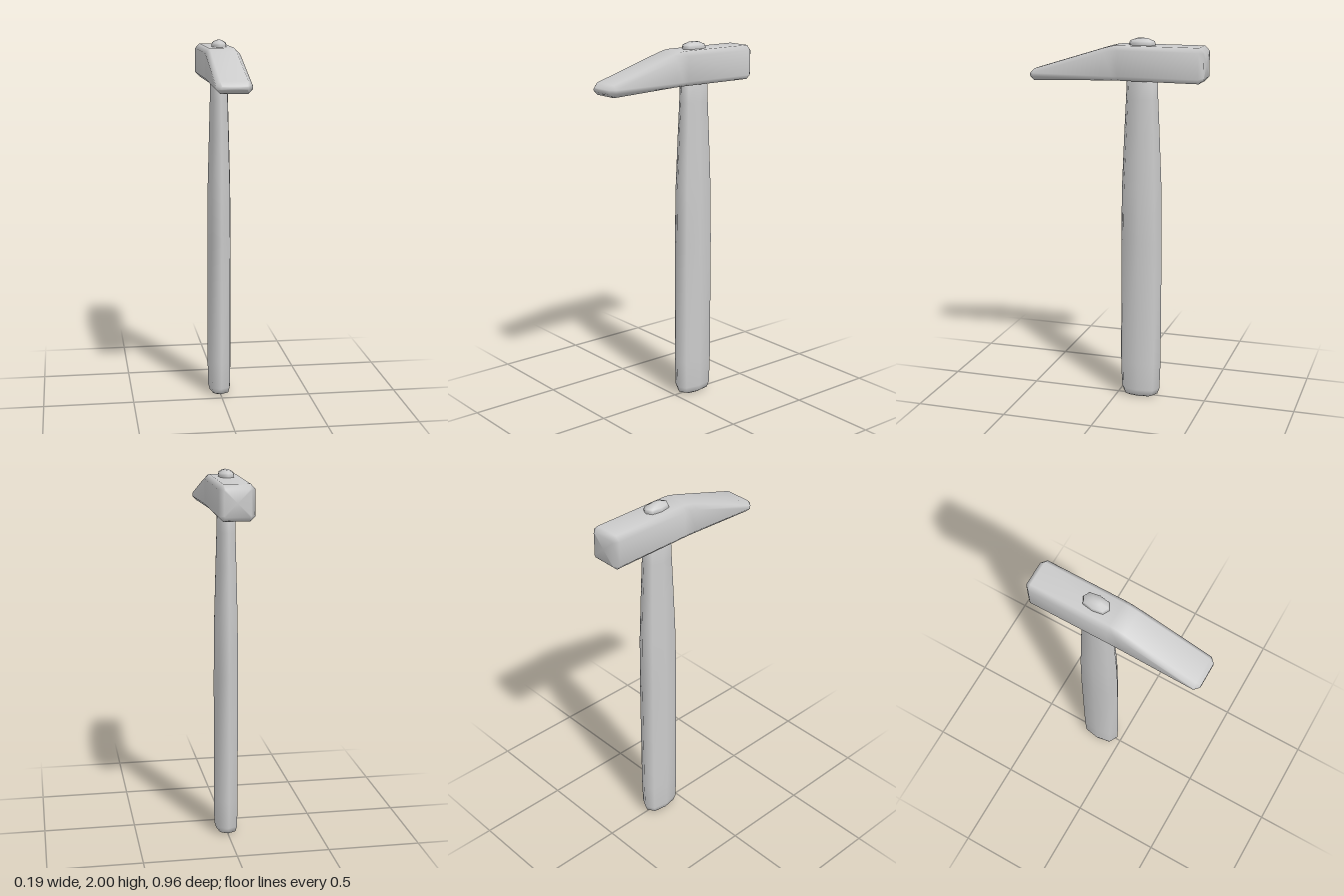
import * as THREE from 'three';

const material = new THREE.MeshStandardMaterial({ color: 0xcccccc });
const HANDLE_Z = -0.13;

// Skin a list of closed rings (counter-clockwise about the travel axis) and cap both ends.
function loft(name, rings) {
  const n = rings[0].length;
  const last = rings.length - 1;
  const centre = (ring) => ring.reduce((s, p) => s.add(p), new THREE.Vector3()).divideScalar(n);
  const points = [...rings.flat(), centre(rings[0]), centre(rings[last])];
  const startCap = n * rings.length;
  const index = [];
  for (let j = 0; j < n; j++) {
    const k = (j + 1) % n;
    for (let i = 0; i < last; i++) {
      const a = i * n + j, b = i * n + k;
      index.push(a, b, b + n, a, b + n, a + n);
    }
    index.push(startCap, k, j, startCap + 1, last * n + j, last * n + k);
  }
  const geometry = new THREE.BufferGeometry().setFromPoints(points);
  geometry.setIndex(index);
  geometry.computeVertexNormals();
  const mesh = new THREE.Mesh(geometry, material);
  mesh.name = name;
  return mesh;
}

// Bevelled rectangle across the head at depth z.
function headRing([z, w, y0, y1, b]) {
  return [
    [w, y0 + b], [w, y1 - b], [w - b, y1], [b - w, y1],
    [-w, y1 - b], [-w, y0 + b], [b - w, y0], [w - b, y0],
  ].map(([x, y]) => new THREE.Vector3(x, y, z));
}

// Eight-sided oval around the handle axis at height y.
function ovalRing([y, hx, hz]) {
  return [
    [1, 0], [0.76, 0.78], [0, 1], [-0.76, 0.78],
    [-1, 0], [-0.76, -0.78], [0, -1], [0.76, -0.78],
  ].map(([z, x]) => new THREE.Vector3(x * hx, y, HANDLE_Z + z * hz));
}

export function createModel() {
  const group = new THREE.Group();
  group.name = 'hammer';

  // Head: square striking face at the back, wedge peen at the front.
  // Each row: z, half width, bottom, top, bevel
  group.add(loft('head', [
    [-0.478, 0.068, 1.802, 1.94, 0.006],
    [-0.453, 0.093, 1.778, 1.964, 0.025],
    [-0.02, 0.093, 1.78, 1.964, 0.025],
    [0.015, 0.093, 1.78, 1.961, 0.025],
    [0.06, 0.093, 1.779, 1.95, 0.025],
    [0.453, 0.093, 1.765, 1.828, 0.022],
    [0.478, 0.068, 1.785, 1.805, 0.005],
  ].map(headRing)));

  // Handle: rounded butt, gentle taper towards the head.
  // Each row: height, half width, half depth
  group.add(loft('handle', [
    [0, 0.038, 0.07],
    [0.012, 0.055, 0.098],
    [0.045, 0.064, 0.11],
    [0.2, 0.066, 0.115],
    [0.9, 0.066, 0.115],
    [1.2, 0.063, 0.111],
    [1.5, 0.055, 0.098],
    [1.68, 0.05, 0.089],
    [1.84, 0.046, 0.083],
  ].map(ovalRing)));

  // Tenon: end of the handle showing through the eye of the head.
  group.add(loft('tenon', [
    [1.9, 0.041, 0.072],
    [1.972, 0.041, 0.072],
    [1.986, 0.038, 0.067],
    [2, 0.016, 0.03],
  ].map(ovalRing)));

  return group;
}
